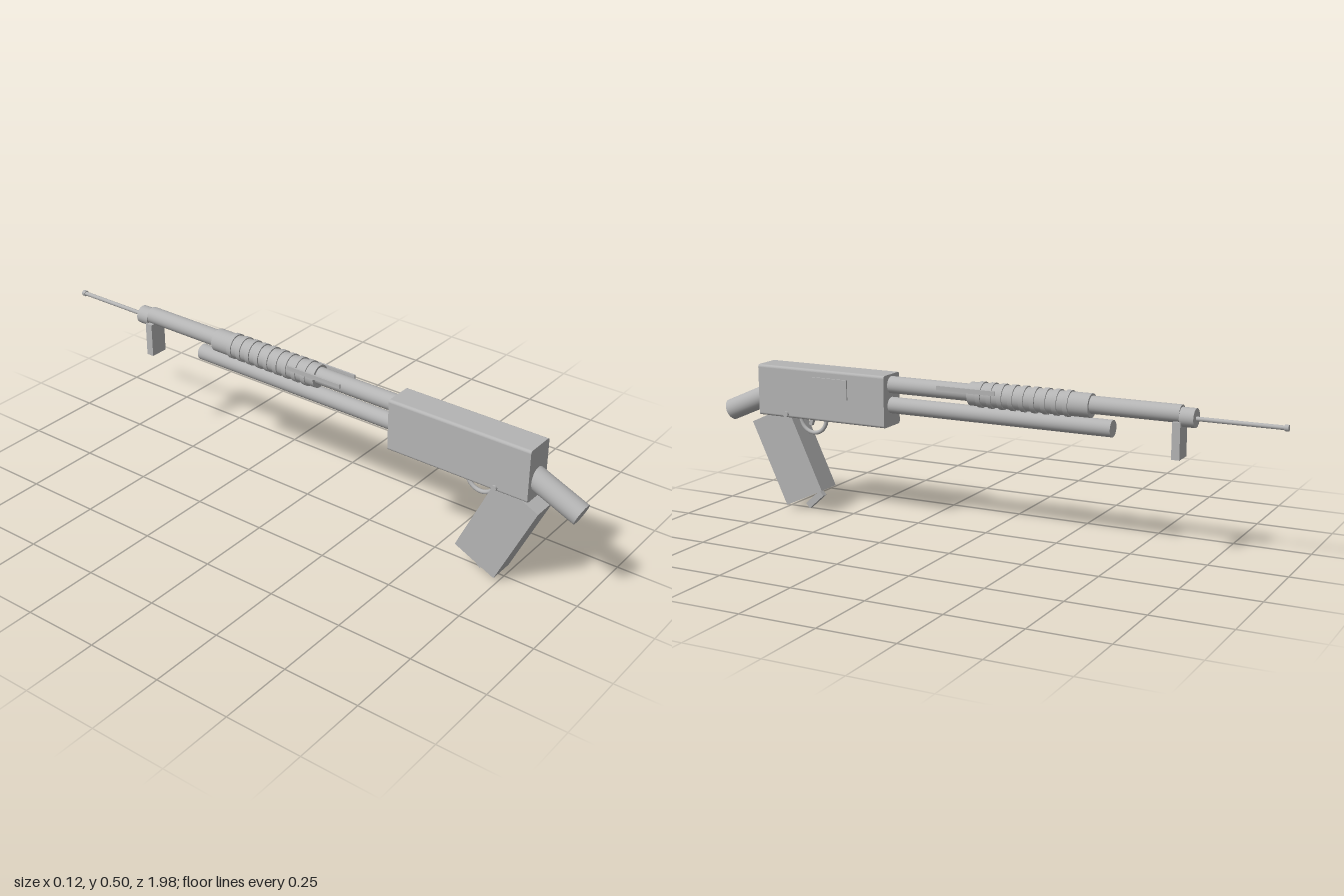
import * as THREE from 'three';

export function createModel() {
  const root = new THREE.Group();
  const grey = new THREE.MeshStandardMaterial({ color: 0xb4b4b4 });
  grey.name = 'matte grey';

  const add = (name, geo, x = 0, y = 0, z = 0, rx = 0) => {
    const m = new THREE.Mesh(geo, grey);
    m.name = name;
    m.position.set(x, y, z);
    m.rotation.x = rx;
    root.add(m);
    return m;
  };
  // Cylinder along z between two depths
  const tube = (name, r, y, z0, z1, sides = 32) =>
    add(name, new THREE.CylinderGeometry(r, r, Math.abs(z1 - z0), sides).rotateX(Math.PI / 2), 0, y, (z0 + z1) / 2);
  const box = (name, w, h, d, x, y, z, rx = 0) => add(name, new THREE.BoxGeometry(w, h, d), x, y, z, rx);

  // Receiver: rounded section extruded along the length
  const w = 0.051, b = 0.322, t = 0.495, r = 0.009;
  const s = new THREE.Shape();
  s.moveTo(-w + r, b);
  s.lineTo(w - r, b);
  s.absarc(w - r, b + r, r, -Math.PI / 2, 0);
  s.absarc(w - r, t - r, r, 0, Math.PI / 2);
  s.absarc(-w + r, t - r, r, Math.PI / 2, Math.PI);
  s.absarc(-w + r, b + r, r, Math.PI, Math.PI * 1.5);
  add('receiver', new THREE.ExtrudeGeometry(s, { depth: 0.489, bevelEnabled: false, curveSegments: 6 }), 0, 0, 0.345);
  box('sidePlate', 0.008, 0.066, 0.133, 0.052, 0.437, 0.55);
  box('lowerPlate', 0.06, 0.006, 0.2, 0, 0.322, 0.46);
  for (const x of [-0.054, 0.054])
    add('pin', new THREE.CylinderGeometry(0.009, 0.009, 0.01, 16).rotateZ(Math.PI / 2), x, 0.334, 0.725);

  // Barrel and lower tube
  tube('barrel', 0.028, 0.46, 0.36, -0.655);
  tube('lowerTube', 0.027, 0.392, 0.36, -0.435);

  // Ribbed slide with a bar on each side
  tube('slide', 0.038, 0.457, 0.05, -0.365);
  for (let i = 0; i < 9; i++) {
    const z = 0.01 - i * 0.0375;
    tube('slideRib', 0.042, 0.457, z + 0.008, z - 0.008);
  }
  for (const x of [-0.039, 0.039]) box('slideBar', 0.006, 0.015, 0.205, x, 0.472, 0.053);

  // Front collar, hanging block and thin rod
  tube('collar', 0.03, 0.451, -0.655, -0.7);
  box('frontBlock', 0.062, 0.115, 0.026, 0, 0.381, -0.648);
  tube('rod', 0.007, 0.449, -0.69, -0.975, 12);
  tube('rodTip', 0.01, 0.449, -0.968, -0.98, 12);

  // Sloping rear cylinder
  const slope = 0.41, len = 0.24;
  add('rearCylinder', new THREE.CylinderGeometry(0.036, 0.036, len, 32).rotateX(Math.PI / 2), 0,
    0.317 + Math.sin(slope) * len / 2, 0.983 - Math.cos(slope) * len / 2, slope);

  // Raked grip and the catch under it
  box('grip', 0.088, 0.308, 0.156, 0, 0.187, 0.733, 0.436);
  box('gripCatch', 0.02, 0.022, 0.075, 0, 0.036, 0.649, -0.73).rotation.x = 0.73;

  // Curved guard and small lever
  add('guard', new THREE.TorusGeometry(0.05, 0.007, 10, 24, Math.PI).rotateZ(Math.PI).rotateY(Math.PI / 2), 0, 0.318, 0.65);
  box('lever', 0.014, 0.035, 0.012, 0, 0.311, 0.655, -0.35);

  return root;
}
